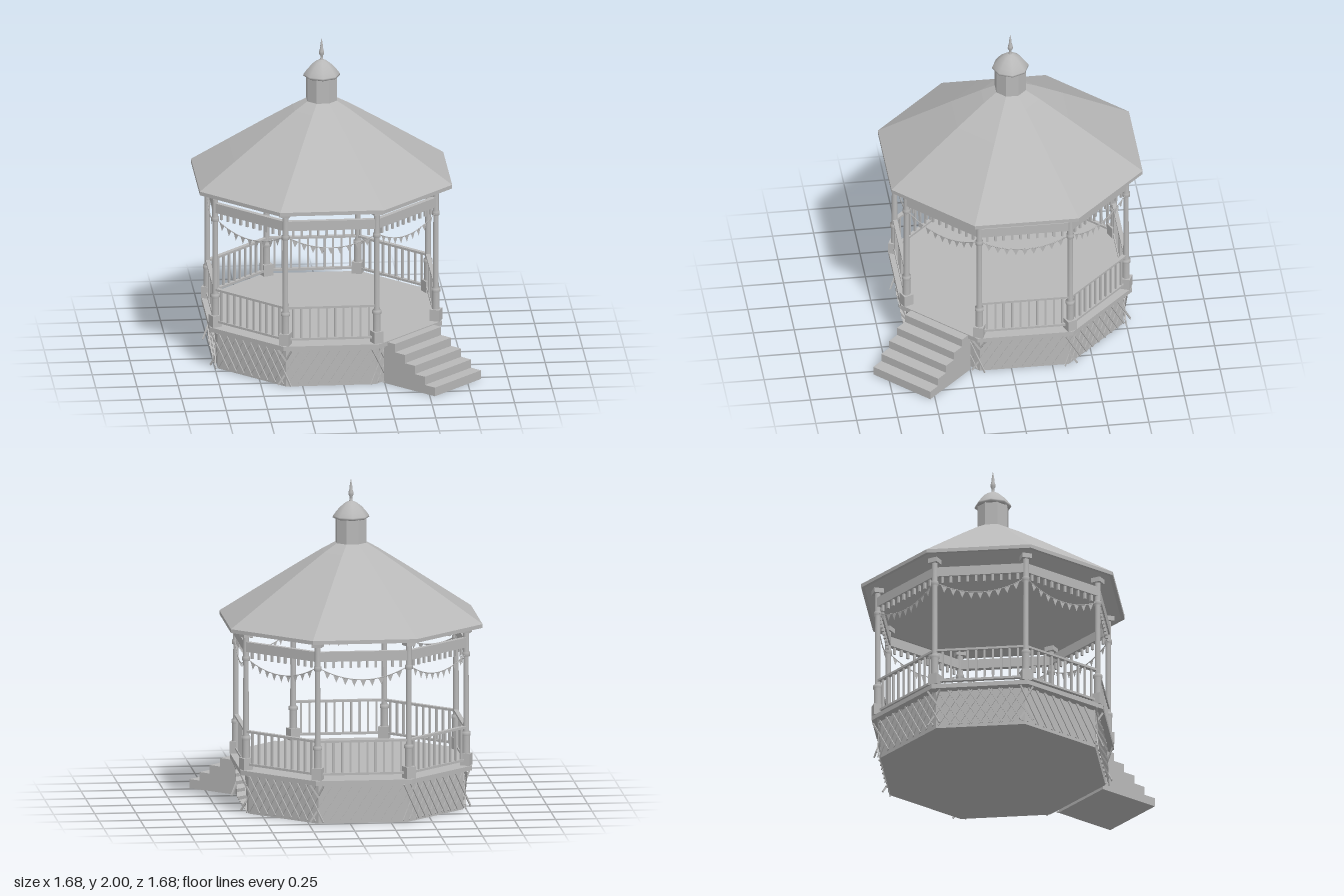
import * as THREE from 'three';

const stone = new THREE.MeshStandardMaterial({ color: 0xb8b8b8 });
stone.name = 'plain grey';
const cloth = stone.clone();
cloth.name = 'plain grey cloth';
cloth.side = THREE.DoubleSide;

const COS = Math.cos(Math.PI / 8), TAN = Math.tan(Math.PI / 8);

function add(parent, name, geometry, x = 0, y = 0, z = 0, material = stone) {
  const mesh = new THREE.Mesh(geometry, material);
  mesh.name = name;
  mesh.position.set(x, y, z);
  parent.add(mesh);
  return mesh;
}

function box(parent, name, w, h, d, x, y, z) {
  return add(parent, name, new THREE.BoxGeometry(w, h, d), x, y, z);
}

function lathe(points, sides, phi = 0) {
  return new THREE.LatheGeometry(points.map(([r, y]) => new THREE.Vector2(r, y)), sides, phi);
}

// Faceted eight-sided solid; profile radii are measured to the flat sides
function octagon(profile) {
  const g = lathe(profile.map(([a, y]) => [a / COS, y]), 8, Math.PI / 8).toNonIndexed();
  g.computeVertexNormals();
  return g;
}

// Post with square base and cap and turned rings
function post(parent) {
  const g = new THREE.Group();
  g.name = 'post';
  parent.add(g);
  box(g, 'postBase', 0.062, 0.072, 0.062, 0, 0.31, 0);
  add(g, 'postShaft', lathe([
    [0.023, 0.34], [0.023, 0.455], [0.028, 0.458], [0.028, 0.478], [0.018, 0.485],
    [0.016, 0.94], [0.024, 0.945], [0.024, 0.968], [0.018, 0.972], [0.018, 1.09],
  ], 12));
  box(g, 'postCap', 0.06, 0.03, 0.06, 0, 1.105, 0);
  return g;
}

function railing(side) {
  const z = 0.668, w = 0.53;
  box(side, 'topRail', w, 0.014, 0.026, 0, 0.508, z);
  box(side, 'bottomRail', w, 0.014, 0.022, 0, 0.307, z);
  for (let i = 0; i < 10; i++) {
    box(side, 'baluster', 0.012, 0.2, 0.012, (i - 4.5) * 0.051, 0.408, z);
  }
}

function frieze(side) {
  box(side, 'beam', 0.55, 0.06, 0.03, 0, 1.03, 0.668);
  for (let i = 0; i < 10; i++) {
    box(side, 'friezePeg', 0.014, 0.042, 0.014, (i - 4.5) * 0.051, 0.98, 0.668);
  }
}

// Sagging string with triangular flags
function bunting(side) {
  const half = 0.26, z = 0.675;
  const sag = (x) => 0.885 + 0.07 * (x / half) ** 2;
  const points = [];
  for (let i = 0; i <= 8; i++) {
    const x = -half + (i * half) / 4;
    points.push(new THREE.Vector3(x, sag(x), z));
  }
  add(side, 'buntingString', new THREE.TubeGeometry(new THREE.CatmullRomCurve3(points), 16, 0.003, 5));
  for (let i = 0; i < 9; i++) {
    const x = (i - 4) * 0.055, w = 0.019;
    const flag = new THREE.Shape([
      new THREE.Vector2(-w, sag(x - w) - sag(x)),
      new THREE.Vector2(0, -0.043),
      new THREE.Vector2(w, sag(x + w) - sag(x)),
    ]);
    add(side, 'flag', new THREE.ShapeGeometry(flag), x, sag(x), z, cloth);
  }
}

// Crossed diagonal strips in front of the plinth
function lattice(side) {
  const h = 0.232, run = 0.15;
  const length = Math.hypot(h, run) - 0.008, tilt = Math.atan2(run, h);
  for (let i = 0; i < 9; i++) {
    for (const s of [-1, 1]) {
      const strip = box(side, 'latticeStrip', 0.011, length, 0.006,
        (i - 4) * 0.062, 0.128, 0.667 + s * 0.003);
      strip.rotation.z = s * tilt;
    }
  }
}

function stairs(side) {
  for (let i = 0; i < 5; i++) {
    const h = 0.265 - i * 0.0525, front = 0.763 + i * 0.0788;
    const back = i === 0 ? 0.678 : front - 0.0788;
    box(side, 'step', 0.434, h, front - back, 0, h / 2, (front + back) / 2);
  }
}

export function createModel() {
  const model = new THREE.Group();
  model.name = 'bandstand';
  const body = new THREE.Group();
  body.name = 'pavilion';
  body.position.set(-0.079, 0, -0.079);
  model.add(body);

  // Plinth and deck
  add(body, 'plinth', octagon([[0, 0], [0.654, 0], [0.654, 0.25], [0, 0.25]]));
  add(body, 'deck', octagon([[0, 0.243], [0.705, 0.243], [0.705, 0.271], [0, 0.271]]));

  // Eight sides, with the entrance on the front left diagonal
  for (let k = 0; k < 8; k++) {
    const side = new THREE.Group();
    side.name = 'side';
    side.rotation.y = (k * Math.PI) / 4;
    body.add(side);
    const corner = post(side);
    corner.position.set(0.67 * TAN, 0, 0.67);
    corner.rotation.y = Math.PI / 8;
    frieze(side);
    bunting(side);
    lattice(side);
    if (k === 1) stairs(side);
    else railing(side);
  }

  // Hollow roof with a thin fascia
  add(body, 'roof', octagon([
    [0.085, 1.585], [0.33, 1.42], [0.745, 1.122], [0.766, 1.122], [0.766, 1.145],
    [0.55, 1.297], [0.34, 1.444], [0.17, 1.56], [0.085, 1.612],
  ]));

  // Cupola and finial
  add(body, 'cupolaNeck', octagon([[0, 1.59], [0.09, 1.59], [0.09, 1.765], [0, 1.765]]));
  add(body, 'cupolaDome', lathe([
    [0, 1.755], [0.1, 1.755], [0.112, 1.762], [0.11, 1.772], [0.092, 1.797],
    [0.068, 1.825], [0.04, 1.848], [0.012, 1.862], [0, 1.863],
  ], 8));
  add(body, 'finial', lathe([
    [0.014, 1.855], [0.008, 1.872], [0.008, 1.885], [0.016, 1.9], [0.015, 1.915],
    [0.008, 1.94], [0.009, 1.95], [0.004, 1.98], [0, 2],
  ], 10));

  return model;
}
